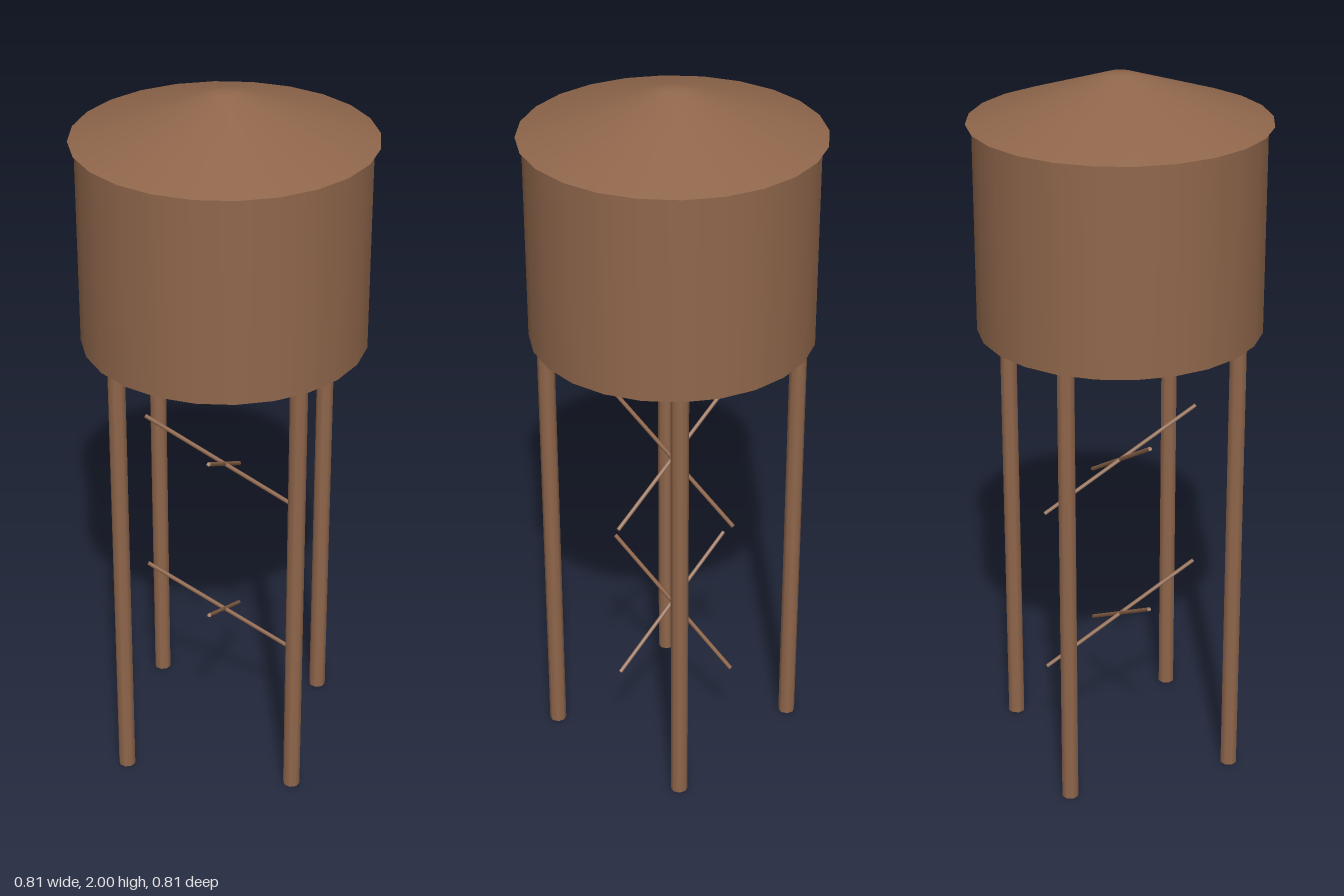
import * as THREE from 'three';

export function createModel() {
  const group = new THREE.Group();
  const brown = new THREE.MeshStandardMaterial({ color: 0x8f664b });
  brown.name = 'brown';

  const add = (name, geometry, x = 0, y = 0, z = 0) => {
    const mesh = new THREE.Mesh(geometry, brown);
    mesh.name = name;
    mesh.position.set(x, y, z);
    group.add(mesh);
    return mesh;
  };

  // Tank
  const tankBottom = 1.305, eaves = 1.875;
  add('tank', new THREE.CylinderGeometry(0.388, 0.388, eaves - tankBottom, 24),
    0, (tankBottom + eaves) / 2, 0);

  // Shallow roof with a small blunt tip, overhanging the tank
  const roofProfile = [[0.404, eaves], [0.037, 2], [0, 2]].map(([r, y]) => new THREE.Vector2(r, y));
  add('roof', new THREE.LatheGeometry(roofProfile, 24));
  const soffit = new THREE.CircleGeometry(0.404, 24);
  soffit.rotateX(Math.PI / 2);
  add('roofUnderside', soffit, 0, eaves, 0);

  // Four legs
  const legGeometry = new THREE.CylinderGeometry(0.024, 0.024, tankBottom, 8);
  for (const x of [-0.243, 0.243]) {
    for (const z of [-0.243, 0.243]) add('leg', legGeometry, x, tankBottom / 2, z);
  }

  // Two tiers of slanted braces crossing on the centre line
  const braceGeometry = new THREE.CylinderGeometry(0.006, 0.006, 0.52, 6);
  for (const y of [0.41, 0.9]) {
    add('braceAcross', braceGeometry, 0, y, 0).rotation.z = Math.PI / 3;
    add('braceFrontToBack', braceGeometry, 0, y, 0).rotation.x = Math.PI / 3;
  }

  return group;
}
